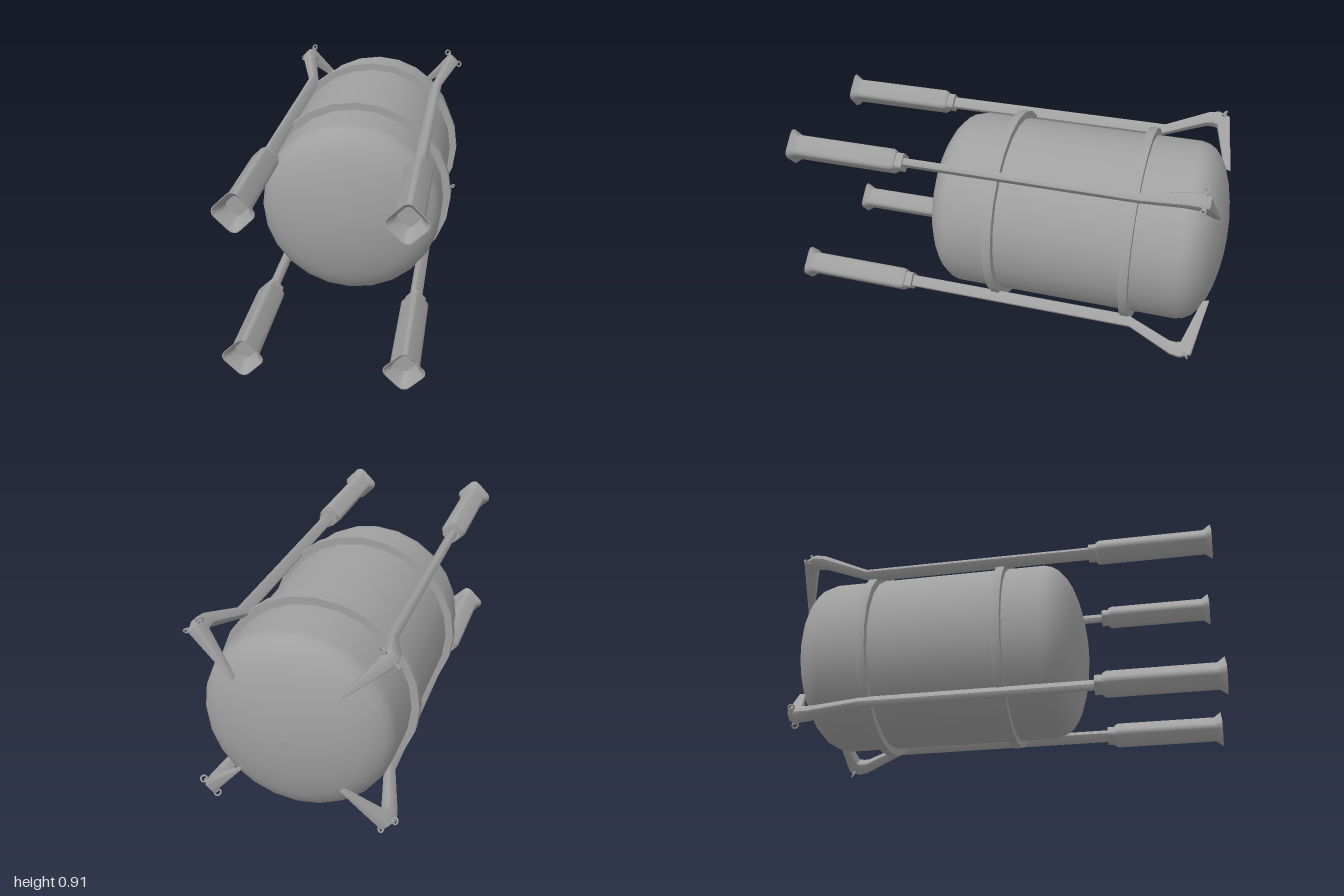
import * as THREE from 'three';
import { toCreasedNormals } from 'three/addons/utils/BufferGeometryUtils.js';

const AXIS_Y = 0.458;
const LEG_R = 0.468;

// Unit square outline with rounded corners, clockwise seen from +z
function outline(round, steps) {
  const pts = [];
  for (let c = 0; c < 4; c++) {
    for (let i = 0; i <= steps; i++) {
      const a = Math.PI / 2 - c * Math.PI / 2 - (i / steps) * Math.PI / 2;
      const mid = Math.PI / 4 - c * Math.PI / 2;
      pts.push([
        Math.sign(Math.cos(mid)) * (1 - round) + Math.cos(a) * round,
        Math.sign(Math.sin(mid)) * (1 - round) + Math.sin(a) * round,
      ]);
    }
  }
  return pts;
}

// Skin over sections [outerZ, outerRadius, innerZ, innerRadius, width]
function loft(sections, profile) {
  const n = profile.length, pos = [], idx = [];
  for (const [oz, od, iz, id, w] of sections) {
    for (const [u, v] of profile) {
      const t = (u + 1) / 2;
      pos.push(id + (od - id) * t, v * w / 2, iz + (oz - iz) * t);
    }
  }
  for (let s = 0; s < sections.length - 1; s++) {
    for (let i = 0; i < n; i++) {
      const a = s * n + i, b = s * n + (i + 1) % n;
      idx.push(a, b, b + n, a, b + n, a + n);
    }
  }
  const last = (sections.length - 1) * n;
  for (let i = 1; i < n - 1; i++) {
    idx.push(0, i + 1, i);
    idx.push(last, last + i, last + i + 1);
  }
  const g = new THREE.BufferGeometry();
  g.setAttribute('position', new THREE.Float32BufferAttribute(pos, 3));
  g.setIndex(idx);
  return toCreasedNormals(g, 0.6);
}

// Square section centred on the leg line
const square = (z, s) => [z, LEG_R + s / 2, z, LEG_R - s / 2, s];

export function createModel() {
  const model = new THREE.Group();
  const grey = new THREE.MeshStandardMaterial({ color: 0xa0a0a0 });
  grey.name = 'grey metal';

  const add = (parent, geometry, name) => {
    const mesh = new THREE.Mesh(geometry, grey);
    mesh.name = name;
    parent.add(mesh);
    return mesh;
  };
  const lathe = (points) =>
    new THREE.LatheGeometry(points.map(([r, y]) => new THREE.Vector2(r, y)), 24).rotateX(Math.PI / 2);

  // Tank with domed ends
  const dome = [[0, 0], [0.08, 0.003], [0.16, 0.013], [0.24, 0.03], [0.31, 0.054],
    [0.355, 0.078], [0.39, 0.107], [0.41, 0.138], [0.42, 0.175]];
  const profile = [
    ...dome.map(([r, h]) => [r, -1 + h]),
    ...dome.slice().reverse().map(([r, h]) => [r, 0.393 - h]),
  ];
  add(model, lathe(profile), 'tank').position.y = AXIS_Y;

  // Two bands around the tank
  for (const z of [0.025, -0.6]) {
    const band = toCreasedNormals(
      lathe([[0.405, -0.02], [0.455, -0.02], [0.455, 0.02], [0.405, 0.02]]), 0.5);
    add(model, band, 'band').position.set(0, AXIS_Y, z);
  }

  // Rod, bent arm and the spike that meets the rear dome
  const strut = loft([
    [0.46, 0.495, 0.46, 0.441, 0.034],
    [-0.63, 0.495, -0.61, 0.441, 0.036],
    [-0.83, 0.583, -0.82, 0.523, 0.058],
    [-0.875, 0.59, -0.85, 0.525, 0.062],
    [-0.925, 0.57, -0.872, 0.52, 0.06],
    [-0.967, 0.31, -0.935, 0.32, 0.008],
  ], outline(0.35, 2));

  // Foot sleeve: cup floor, flared lip, then the outer wall
  const sleeve = loft([
    square(0.93, 0.076), square(0.968, 0.092), square(1, 0.132), square(1, 0.14),
    square(0.968, 0.1), square(0.495, 0.1), square(0.48, 0.086),
  ], outline(0.45, 4));
  const collar = loft([square(0.5, 0.074), square(0.445, 0.074)], outline(0.35, 3));
  const pin = new THREE.CylinderGeometry(0.008, 0.008, 0.08, 10);
  const loop = new THREE.TorusGeometry(0.014, 0.004, 8, 16);

  // Four legs around the tank
  for (let k = 0; k < 4; k++) {
    const leg = new THREE.Group();
    leg.name = 'leg';
    add(leg, strut, 'strut');
    add(leg, sleeve, 'footSleeve');
    add(leg, collar, 'collar');
    add(leg, pin, 'hingePin').position.set(0.572, 0, -0.9);
    for (const side of [-1, 1]) {
      const ring = add(leg, loop, 'hingeLoop');
      ring.position.set(0.575, side * 0.043, -0.9);
      ring.rotation.y = 0.75;
    }
    leg.position.y = AXIS_Y;
    leg.rotation.z = Math.PI / 4 + k * Math.PI / 2;
    model.add(leg);
  }
  return model;
}
